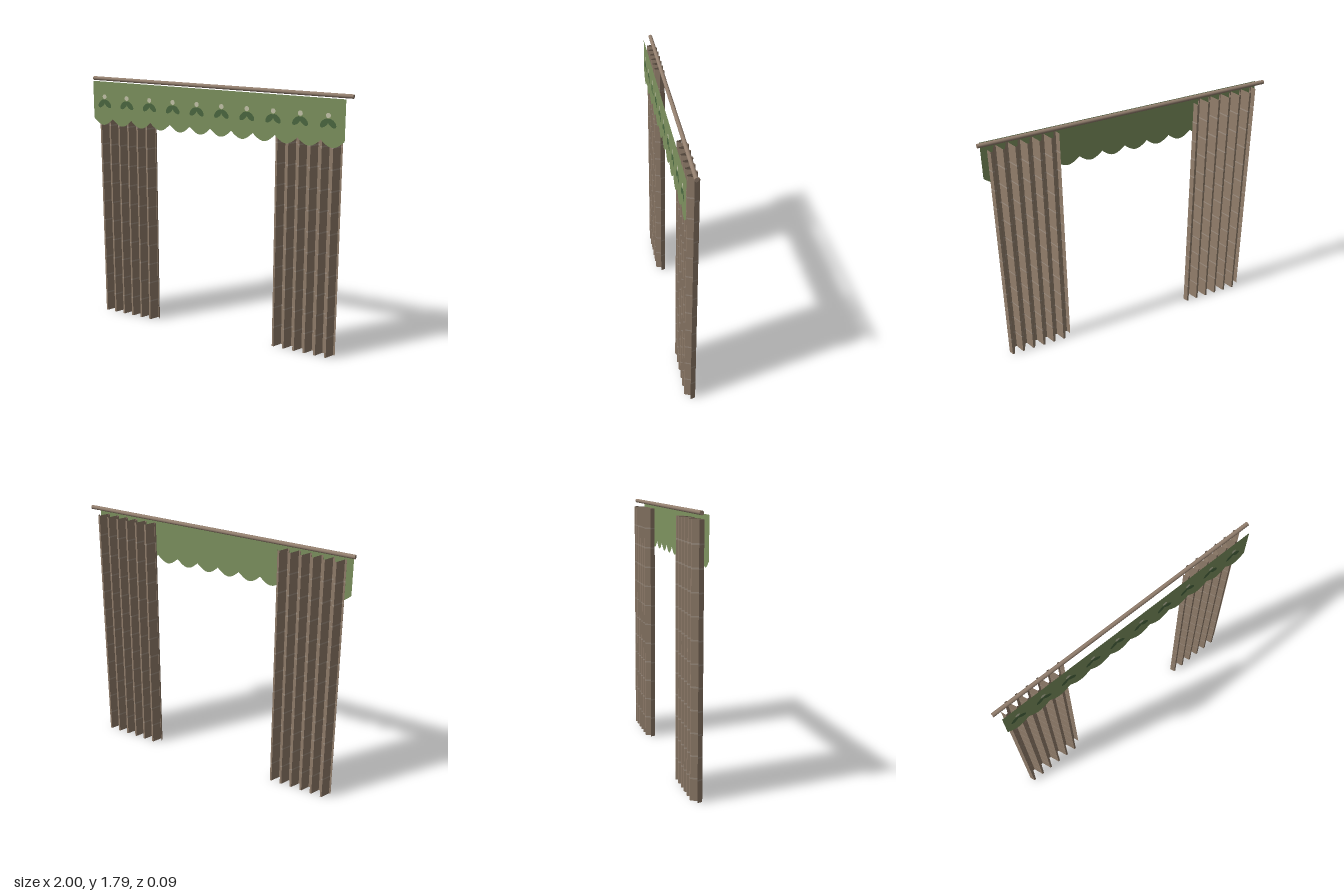
import * as THREE from 'three';
import { mergeGeometries } from 'three/addons/utils/BufferGeometryUtils.js';

const AXIS_Z = -0.01;
const mat = (color, extra = {}) => new THREE.MeshStandardMaterial({ color, roughness: 0.9, ...extra });

function addMesh(parent, name, geometry, material) {
  const mesh = new THREE.Mesh(geometry, material);
  mesh.name = name;
  parent.add(mesh);
  return mesh;
}

// One horizontal band of pleated cloth between two heights
function pleats(x0, x1, y0, y1, folds = 6, perFold = 6) {
  const n = folds * perFold;
  const geo = new THREE.PlaneGeometry(x1 - x0, y1 - y0, n, 1);
  geo.translate((x0 + x1) / 2, (y0 + y1) / 2, 0);
  const p = geo.attributes.position;
  for (let i = 0; i < p.count; i++) {
    const t = (p.getX(i) - x0) / (x1 - x0);
    p.setZ(i, AXIS_Z + 0.039 * Math.sin(t * folds * Math.PI * 2));
  }
  geo.computeVertexNormals();
  return geo;
}

// Pleated curtain with thin woven stripes at regular heights
function curtain(name, x0, x1) {
  const group = new THREE.Group();
  group.name = name;
  const height = 1.74, rows = 12, step = height / rows, half = 0.005;
  const cloth = [], stripes = [];
  for (let i = 0; i < rows; i++) {
    const low = i === 0 ? 0 : i * step + half;
    const high = i === rows - 1 ? height : (i + 1) * step - half;
    cloth.push(pleats(x0, x1, low, high));
    if (i > 0) stripes.push(pleats(x0, x1, i * step - half, i * step + half));
  }
  const look = { flatShading: true, side: THREE.DoubleSide };
  addMesh(group, 'curtainCloth', mergeGeometries(cloth), mat(0x94806d, look));
  addMesh(group, 'curtainStripes', mergeGeometries(stripes), mat(0xa39384, look));
  return group;
}

// Flat valance with a scalloped lower edge
function valanceGeometry() {
  const w = 0.97, scallops = 12, steps = 10;
  const shape = new THREE.Shape();
  shape.moveTo(w, 1.768);
  shape.lineTo(-w, 1.768);
  for (let i = 0; i <= scallops * steps; i++) {
    const t = i / steps;
    shape.lineTo(-w + (2 * w * t) / scallops, 1.5 - 0.047 * Math.abs(Math.sin(Math.PI * t)));
  }
  return new THREE.ShapeGeometry(shape);
}

export function createModel() {
  const model = new THREE.Group();
  model.name = 'curtainSet';

  // Rod
  const rod = addMesh(model, 'rod', new THREE.CylinderGeometry(0.014, 0.014, 2, 12), mat(0x94806f));
  rod.rotation.z = Math.PI / 2;
  rod.position.set(0, 1.781, AXIS_Z);

  // Curtains
  model.add(curtain('rightCurtain', -0.945, -0.475));
  model.add(curtain('leftCurtain', 0.47, 0.94));

  // Valance
  const valance = addMesh(model, 'valance', valanceGeometry(), mat(0x7f9460, { side: THREE.DoubleSide }));
  valance.position.z = 0.043;

  // Row of berry-and-leaf motifs on the front of the valance
  const leaves = [], berries = [];
  for (let i = 0; i < 10; i++) {
    const x = -0.873 + i * 0.192;
    for (const s of [-1, 1]) {
      const leaf = new THREE.CircleGeometry(1, 20);
      leaf.scale(0.037, 0.02, 1);
      leaf.rotateZ(-s * 0.78);
      leaf.translate(x + s * 0.026, 1.609, 0.0445);
      leaves.push(leaf);
    }
    const berry = new THREE.CircleGeometry(0.017, 16);
    berry.translate(x, 1.659, 0.0445);
    berries.push(berry);
  }
  addMesh(model, 'leafMotifs', mergeGeometries(leaves), mat(0x4d6a42));
  addMesh(model, 'berryMotifs', mergeGeometries(berries), mat(0xc8c8ac));

  return model;
}
